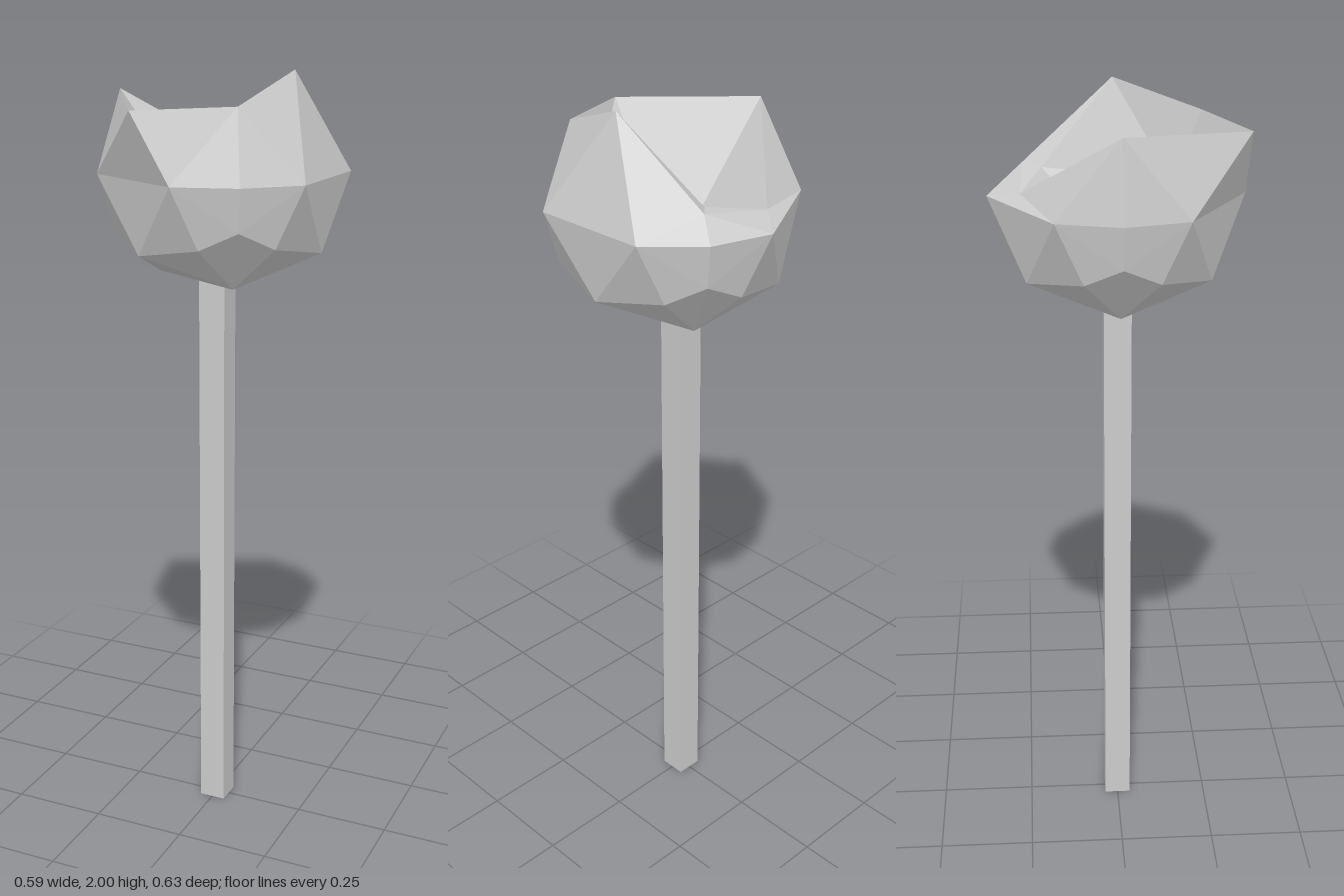
import * as THREE from 'three';

const R = 0.317, CX = 0.021, CY = 1.75;

// Point on the ball: angle around y (0 = +x, 90 = +z) and height as a share of the radius.
function onBall(deg, h) {
  const a = THREE.MathUtils.degToRad(deg), r = R * Math.sqrt(1 - h * h);
  return new THREE.Vector3(CX + r * Math.cos(a), CY + R * h, r * Math.sin(a));
}

// Flat-shaded mesh from triangles, each turned away from (or towards) a reference point.
function facets(name, tris, ref, towards, material) {
  const pos = [];
  for (const [a, b, c] of tris) {
    const n = b.clone().sub(a).cross(c.clone().sub(a));
    const mid = a.clone().add(b).add(c).divideScalar(3);
    const out = n.dot(mid.sub(ref)) > 0;
    const t = out !== towards ? [a, b, c] : [a, c, b];
    t.forEach((p) => pos.push(p.x, p.y, p.z));
  }
  const g = new THREE.BufferGeometry();
  g.setAttribute('position', new THREE.Float32BufferAttribute(pos, 3));
  g.computeVertexNormals();
  const mesh = new THREE.Mesh(g, material);
  mesh.name = name;
  return mesh;
}

export function createModel() {
  const group = new THREE.Group();
  group.name = 'brokenBallOnStick';
  const material = new THREE.MeshStandardMaterial({ color: 0xcccccc, flatShading: true });
  const V = (x, y, z) => new THREE.Vector3(x, y, z);

  // Square stick
  const stick = new THREE.Mesh(new THREE.BoxGeometry(0.07, 1.53, 0.07), material);
  stick.position.y = 0.765;
  stick.name = 'stick';
  group.add(stick);

  // Named rings of the faceted ball
  const base = (d) => onBall(d, -0.816);
  const low = (d) => onBall(d, -0.577);
  const belly = (d) => onBall(d, -0.333);
  const side = (d) => onBall(d, 0);

  // Lower half: a flat base triangle and three equal sectors
  const shell = [[base(60), base(180), base(300)]];
  for (const d of [60, 180, 300]) {
    shell.push([low(d + 60), base(d), base(d + 120)]);
    shell.push([low(d + 60), side(d + 30), side(d + 90)]);
    const b = base(d), c = belly(d), m = side(d);
    for (const s of [-1, 1]) {
      const e = side(d + 30 * s), l = low(d + 60 * s);
      const n = onBall(d + 19.1 * s, -0.475);
      shell.push([c, b, n], [c, n, e], [c, e, m], [l, e, n], [l, n, b]);
    }
  }

  // Broken rim and the hollow inside
  const peak = V(0.203, 2.0, 0), frontLeft = V(0.15, 1.927, 0.22);
  const front = V(-0.08, 1.918, 0.316), right = V(-0.27, 1.945, -0.003);
  const back = V(-0.047, 1.77, -0.235), notch = V(0.105, 1.8, -0.182);
  const backLeft = V(0.15, 1.805, -0.226);
  const pit = V(0.005, 1.6, 0.015), ledge = V(0.153, 1.75, 0.148);

  // Upper outside
  shell.push(
    [frontLeft, side(30), side(60)], [frontLeft, side(60), side(90)],
    [frontLeft, side(90), front], [front, side(90), side(150)],
    [front, side(150), right], [right, side(150), side(180)],
    [right, side(180), side(210)], [right, side(210), back],
    [back, side(210), side(270)], [back, side(270), backLeft],
    [backLeft, side(270), side(300)], [backLeft, side(300), side(330)],
    [backLeft, side(330), peak], [peak, side(330), side(30)],
    [peak, side(30), frontLeft], [back, backLeft, notch], [notch, backLeft, peak],
  );
  group.add(facets('ballShell', shell, V(CX, 1.68, 0), false, material));

  // Inside of the hollow
  const hollow = [
    [right, front, pit], [front, ledge, pit], [front, frontLeft, ledge],
    [frontLeft, peak, ledge], [peak, notch, ledge], [notch, pit, ledge],
    [notch, back, pit], [back, right, pit],
  ];
  group.add(facets('ballHollow', hollow, V(-0.03, 2.0, 0), true, material));
  return group;
}
